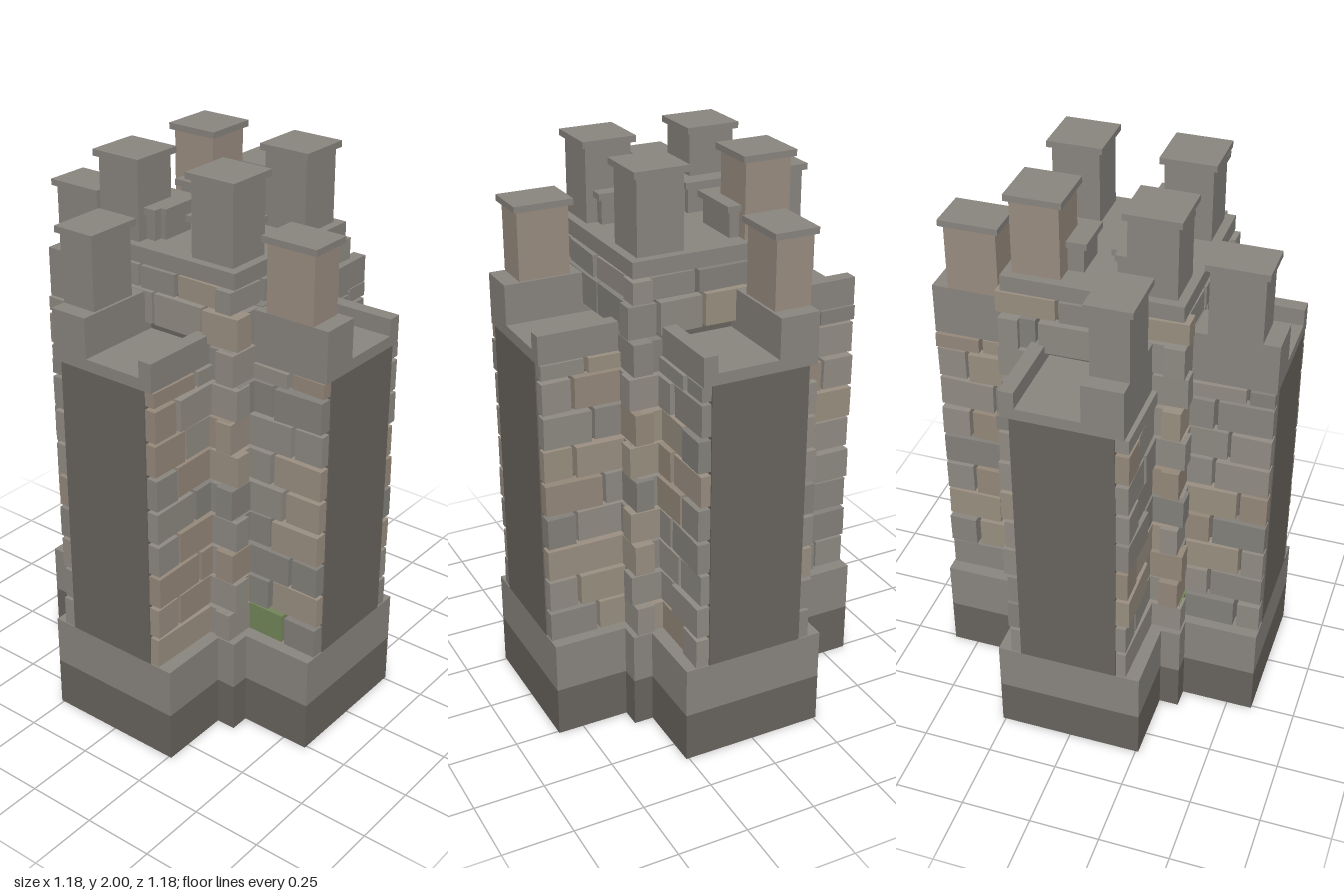
import * as THREE from 'three';

const mat = (color) => new THREE.MeshStandardMaterial({ color, flatShading: true });
const dark = mat(0x69655f);
const trim = mat(0x8a8680);
const tan = mat(0x9b8e82);
const moss = mat(0x75875a);
const stones = [0x8f8b84, 0x8a8680, 0x938d85, 0x96897b, 0x85827c, 0x9b9082].map(mat);

// small seeded random
let seed = 7;
const rnd = () => {
  seed = (seed * 16807) % 2147483647;
  return seed / 2147483647;
};

// box from min / max corners
function box(parent, name, x0, x1, y0, y1, z0, z1, material = trim) {
  const m = new THREE.Mesh(new THREE.BoxGeometry(x1 - x0, y1 - y0, z1 - z0), material);
  m.position.set((x0 + x1) / 2, (y0 + y1) / 2, (z0 + z1) / 2);
  m.name = name;
  parent.add(m);
  return m;
}

const BASE = 0.36, COURSE = 0.123, GAP = 0.013;

// coursed masonry on the plane z = face, running from u0 to u1 along x
function masonry(parent, { u0, u1, y0, y1, face, depth, quoin = 0, parity = 0, firstMat, length = 0.19 }) {
  const wall = new THREE.Group();
  wall.name = 'masonry';
  parent.add(wall);
  const rows = Math.ceil((y1 - BASE) / COURSE);
  for (let r = 0; r < rows; r++) {
    const lo = Math.max(y0, BASE + r * COURSE - (r ? 0.005 : 0));
    const hi = Math.min(y1, BASE + (r + 1) * COURSE - 0.005 - GAP);
    if (hi - lo < 0.02) continue;
    // corner stones interlock with the next wall
    const shift = quoin ? ((r + parity) % 2 ? 0.012 : -0.022) : 0;
    const a = u0 - (u0 < -0.25 ? shift : 0), b = u1 + (u1 > 0.25 ? shift : 0);
    let u = a, first = true;
    while (u < b - 0.02) {
      let len = first && r % 2 ? length * 0.6 : length * (0.8 + rnd() * 0.45);
      if (b - u - len < 0.07) len = b - u;
      const d = depth * (0.8 + rnd() * 0.35);
      const material = r === 0 && first && firstMat ? firstMat : stones[Math.floor(rnd() * stones.length)];
      const end = u + len >= b - 0.001 ? b : u + len - GAP;
      const s = box(wall, 'stone', u, end, lo, hi, face - 0.03, face + d, material);
      s.rotation.y = (rnd() - 0.5) * 0.05;
      s.rotation.z = (rnd() - 0.5) * 0.025;
      u += len;
      first = false;
    }
  }
}

// chimney stack with a thin projecting cap
function chimney(parent, x, z, w, d, y0, top, material = trim) {
  const g = new THREE.Group();
  g.name = 'chimney';
  box(g, 'chimneyStack', x - w / 2, x + w / 2, y0, top - 0.02, z - d / 2, z + d / 2, material);
  const o = 0.014;
  box(g, 'chimneyCap', x - w / 2 - o, x + w / 2 + o, top - 0.022, top, z - d / 2 - o, z + d / 2 + o);
  parent.add(g);
}

// one wing, built along +z; side tells where its chimney stands
function wing(angle, side, name, stackMat, mossSide) {
  const g = new THREE.Group();
  g.name = name;
  g.rotation.y = angle;
  box(g, 'plinthLower', -0.26, 0.26, 0, 0.18, 0.2, 0.592, dark);
  box(g, 'plinthUpper', -0.26, 0.26, 0.18, BASE, 0.2, 0.592);
  box(g, 'wingBody', -0.175, 0.175, BASE, 1.39, 0.2, 0.592, dark);
  box(g, 'roofSlab', -0.205, 0.205, 1.39, 1.43, 0.2, 0.592);
  const strip = (label, a, b, top) =>
    box(g, label, Math.min(a * side, b * side), Math.max(a * side, b * side), 1.43, top, 0.25, 0.592);
  strip('chimneyBase', 0.065, 0.205, 1.57);
  strip('parapet', -0.205, -0.155, 1.49);
  chimney(g, side * 0.14, 0.445, 0.13, 0.18, 1.57, 1.83, stackMat);
  // matching inner chimney on the core roof
  chimney(g, side * 0.14, 0.145, 0.13, 0.18, 1.7, 1.83);

  // stone facing of both long sides
  for (const s of [-1, 1]) {
    const flank = new THREE.Group();
    flank.name = 'wingFlank';
    flank.rotation.y = s * Math.PI / 2;
    const [u0, u1] = s > 0 ? [-0.588, -0.29] : [0.29, 0.588];
    g.add(flank);
    masonry(flank, { u0, u1, y0: BASE, y1: 1.39, face: 0.175, depth: 0.042, firstMat: s === mossSide ? moss : null });
  }
  return g;
}

export function createModel() {
  const model = new THREE.Group();
  model.name = 'stoneTower';

  // central core
  box(model, 'corePlinthLower', -0.33, 0.33, 0, 0.18, -0.33, 0.33, dark);
  box(model, 'corePlinthUpper', -0.33, 0.33, 0.18, BASE, -0.33, 0.33);
  box(model, 'coreBody', -0.275, 0.275, BASE, 1.67, -0.275, 0.275, dark);
  box(model, 'coreRoof', -0.305, 0.305, 1.665, 1.72, -0.305, 0.305);
  for (let i = 0; i < 4; i++) {
    const face = new THREE.Group();
    face.name = 'coreFace';
    face.rotation.y = i * Math.PI / 2;
    model.add(face);
    const common = { face: 0.275, depth: 0.036, quoin: 1, parity: i };
    masonry(face, { ...common, u0: -0.312, u1: -0.19, y0: BASE, y1: 1.45, length: 0.12, firstMat: i === 0 ? moss : null });
    masonry(face, { ...common, u0: 0.19, u1: 0.312, y0: BASE, y1: 1.45, length: 0.12 });
    masonry(face, { ...common, u0: -0.312, u1: 0.312, y0: 1.462, y1: 1.66 });
  }

  // tall corner chimneys
  for (const x of [-1, 1]) for (const z of [-1, 1]) {
    chimney(model, x * 0.192, z * 0.192, 0.164, 0.164, 1.72, 2, x < 0 && z < 0 ? tan : trim);
  }

  // four wings
  model.add(
    wing(0, -1, 'frontWing', trim, 0),
    wing(Math.PI / 2, -1, 'leftWing', tan, -1),
    wing(-Math.PI / 2, 1, 'rightWing', trim, 0),
    wing(Math.PI, 1, 'backWing', tan, 0)
  );
  return model;
}
